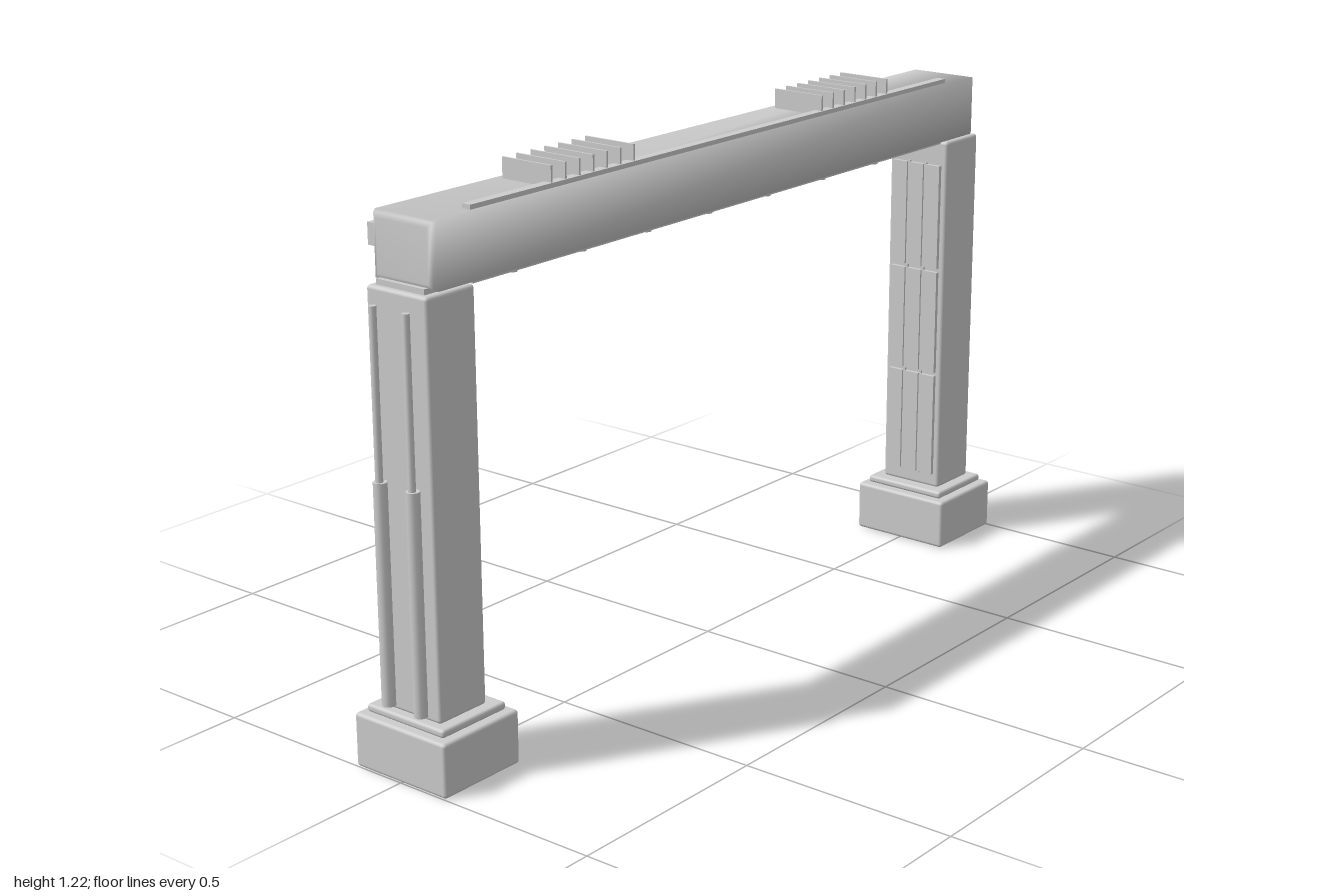
import * as THREE from 'three';
import { RoundedBoxGeometry } from 'three/addons/geometries/RoundedBoxGeometry.js';
import { mergeVertices } from 'three/addons/utils/BufferGeometryUtils.js';

export function createModel() {
  const model = new THREE.Group();
  model.name = 'gantry';
  const grey = new THREE.MeshStandardMaterial({ color: 0xcccccc });
  grey.name = 'light grey';

  const add = (parent, name, geometry, x, y, z) => {
    const mesh = new THREE.Mesh(geometry, grey);
    mesh.name = name;
    mesh.position.set(x, y, z);
    parent.add(mesh);
    return mesh;
  };
  const box = (parent, name, w, h, d, x, y, z) =>
    add(parent, name, new THREE.BoxGeometry(w, h, d), x, y, z);
  const rounded = (parent, name, w, h, d, r, x, y, z) =>
    add(parent, name, new RoundedBoxGeometry(w, h, d, 2, r), x, y, z);
  // upright cylinder between two heights
  const rod = (parent, name, r, y0, y1, x, z, sides = 10) =>
    add(parent, name, new THREE.CylinderGeometry(r, r, y1 - y0, sides), x, (y0 + y1) / 2, z);

  // Posts, built for the +x side; the other is turned half round
  for (const side of [1, -1]) {
    const post = new THREE.Group();
    post.name = side > 0 ? 'leftPost' : 'rightPost';
    rounded(post, 'footing', 0.22, 0.12, 0.254, 0.008, 0.89, 0.06, 0);
    rounded(post, 'plinth', 0.185, 0.018, 0.216, 0.007, 0.89, 0.13, 0);
    rounded(post, 'column', 0.135, 0.888, 0.164, 0.008, 0.895, 0.581, 0);

    // hydraulic rods and sleeves on the outer face
    for (const z of [0.045, -0.045]) {
      rod(post, 'slimPipe', 0.008, 0.6, 0.993, 0.982, z);
      rod(post, 'pipeSleeve', 0.0148, 0.153, 0.632, 0.98, z);
    }

    // panels in three tiers on the inner face, with upright trims
    for (let i = 0; i < 3; i++) {
      for (const z of [-0.047, 0, 0.047]) {
        box(post, 'innerPanel', 0.012, 0.258, 0.04, 0.824, 0.302 + i * 0.267, z);
      }
    }
    for (const z of [-0.0235, 0.0235]) {
      box(post, 'innerTrim', 0.008, 0.8, 0.006, 0.826, 0.569, z);
    }
    post.rotation.y = side > 0 ? 0 : Math.PI;
    model.add(post);
  }

  // Beam: chamfered block with softly blended normals
  const b = 0.014, h = 0.07 - b, d = 0.082 - b;
  const section = new THREE.Shape([
    new THREE.Vector2(-d, -h), new THREE.Vector2(d, -h),
    new THREE.Vector2(d, h), new THREE.Vector2(-d, h),
  ]);
  let beam = new THREE.ExtrudeGeometry(section, {
    depth: 1.884 - 2 * b, bevelEnabled: true, bevelSize: b, bevelThickness: b, bevelSegments: 2,
  });
  beam.translate(0, 0, -(0.942 - b));
  beam.rotateY(Math.PI / 2);
  beam.deleteAttribute('normal');
  beam.deleteAttribute('uv');
  beam = mergeVertices(beam, 1e-4);
  beam.computeVertexNormals();
  add(model, 'beam', beam, 0, 1.1, 0);

  // Beam underside: side rails, lamp rail and lamps
  for (const z of [-0.05, 0.05]) {
    box(model, 'undersideRail', 1.64, 0.012, 0.035, 0, 1.027, z);
  }
  box(model, 'lampRail', 1.6, 0.008, 0.012, 0, 1.028, 0);
  for (let i = -3; i <= 3; i++) rod(model, 'lamp', 0.011, 0.996, 1.03, i * 0.211, 0, 12);
  for (const s of [-1, 1]) box(model, 'bearingPad', 0.11, 0.02, 0.13, s * 0.895, 1.027, 0);

  // Rail on top near the front edge, strip along the back
  box(model, 'topRail', 1.65, 0.014, 0.022, 0, 1.173, 0.061);
  box(model, 'backStrip', 1.66, 0.006, 0.006, 0, 1.115, -0.082);

  for (const s of [-1, 1]) {
    // box at each end of the back
    box(model, 'backBox', 0.06, 0.046, 0.024, s * 0.9, 1.117, -0.092);
    // cooling fins
    for (let i = 0; i < 7; i++) {
      box(model, 'coolingFin', 0.005, 0.05, 0.132, s * (0.33 + i * 0.0425), 1.19, 0.002);
    }
  }
  return model;
}
